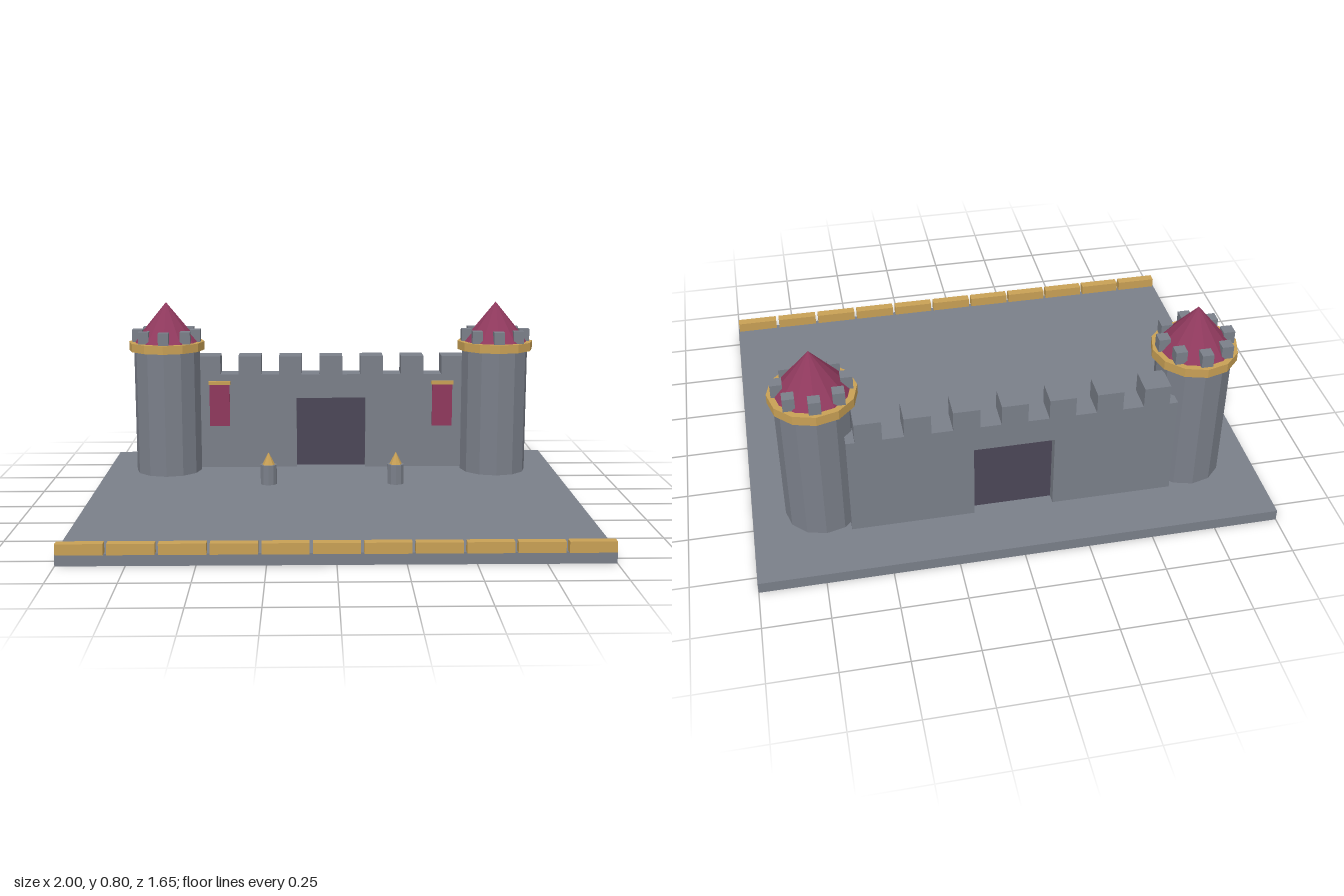
import * as THREE from 'three';

const material = (name, color, flatShading = true) => {
  const m = new THREE.MeshStandardMaterial({ color, flatShading });
  m.name = name;
  return m;
};

export function createModel() {
  const stone = material('stone grey', 0x7a7f89);
  const gold = material('gold', 0xc8a055);
  const crimson = material('crimson', 0x8f395d);
  const wood = material('dark gate', 0x4b4657);

  const model = new THREE.Group();
  model.name = 'castleGate';

  const add = (parent, name, geometry, mat, x, y, z) => {
    const mesh = new THREE.Mesh(geometry, mat);
    mesh.name = name;
    mesh.position.set(x, y, z);
    parent.add(mesh);
    return mesh;
  };
  // Box given by its centre in x and z, and its bottom and top in y
  const box = (parent, name, mat, x, z, w, d, y0, y1) =>
    add(parent, name, new THREE.BoxGeometry(w, y1 - y0, d), mat, x, (y0 + y1) / 2, z);
  const cylinder = (parent, name, mat, r, y0, y1, sides) =>
    add(parent, name, new THREE.CylinderGeometry(r, r, y1 - y0, sides), mat, 0, (y0 + y1) / 2, 0);
  const cone = (parent, name, mat, r, y0, y1, sides) =>
    add(parent, name, new THREE.ConeGeometry(r, y1 - y0, sides), mat, 0, (y0 + y1) / 2, 0);

  const ground = 0.045;
  box(model, 'base', stone, 0, -0.008, 2, 1.637, 0, ground);

  // Row of blocks along the front edge
  for (let i = -5; i <= 5; i++) {
    box(model, 'frontTrim', gold, i * 0.182, 0.808, 0.17, 0.037, ground, 0.086);
  }

  // Curtain wall with an open gateway
  const wall = new THREE.Shape();
  wall.moveTo(-0.63, ground);
  wall.lineTo(-0.155, ground);
  wall.lineTo(-0.155, 0.363);
  wall.lineTo(0.155, 0.363);
  wall.lineTo(0.155, ground);
  wall.lineTo(0.63, ground);
  wall.lineTo(0.63, 0.47);
  wall.lineTo(-0.63, 0.47);
  wall.closePath();
  const wallGeometry = new THREE.ExtrudeGeometry(wall, { depth: 0.104, bevelEnabled: false });
  add(model, 'wall', wallGeometry, stone, 0, 0, -0.61);
  box(model, 'gate', wood, 0, -0.558, 0.312, 0.025, ground, 0.364);
  for (let i = -3; i <= 3; i++) {
    box(model, 'wallMerlon', stone, i * 0.182, -0.558, 0.101, 0.104, 0.47, 0.552);
  }

  for (const side of [-1, 1]) {
    // Tower with collar, merlons and roof
    const tower = new THREE.Group();
    tower.name = side > 0 ? 'leftTower' : 'rightTower';
    tower.position.set(side * 0.727, 0, -0.467);
    model.add(tower);
    cylinder(tower, 'towerShaft', stone, 0.145, ground, 0.6, 12);
    cylinder(tower, 'towerCollar', gold, 0.166, 0.59, 0.627, 12);
    cone(tower, 'towerRoof', crimson, 0.142, 0.627, 0.8, 12);
    for (let i = 0; i < 8; i++) {
      const a = (i * Math.PI) / 4;
      box(tower, 'towerMerlon', stone, Math.cos(a) * 0.127, Math.sin(a) * 0.127,
        0.045, 0.045, 0.627, 0.68);
    }

    // Banner hanging from a rod
    box(model, 'banner', crimson, side * 0.5, -0.499, 0.09, 0.009, 0.237, 0.427);
    box(model, 'bannerRod', gold, side * 0.5, -0.496, 0.098, 0.02, 0.426, 0.441);

    // Small post with a pointed cap
    const post = new THREE.Group();
    post.name = 'post';
    post.position.set(side * 0.273, 0, -0.197);
    model.add(post);
    cylinder(post, 'postShaft', stone, 0.036, ground, 0.13, 10);
    cone(post, 'postCap', gold, 0.027, 0.13, 0.183, 8);
  }

  return model;
}
